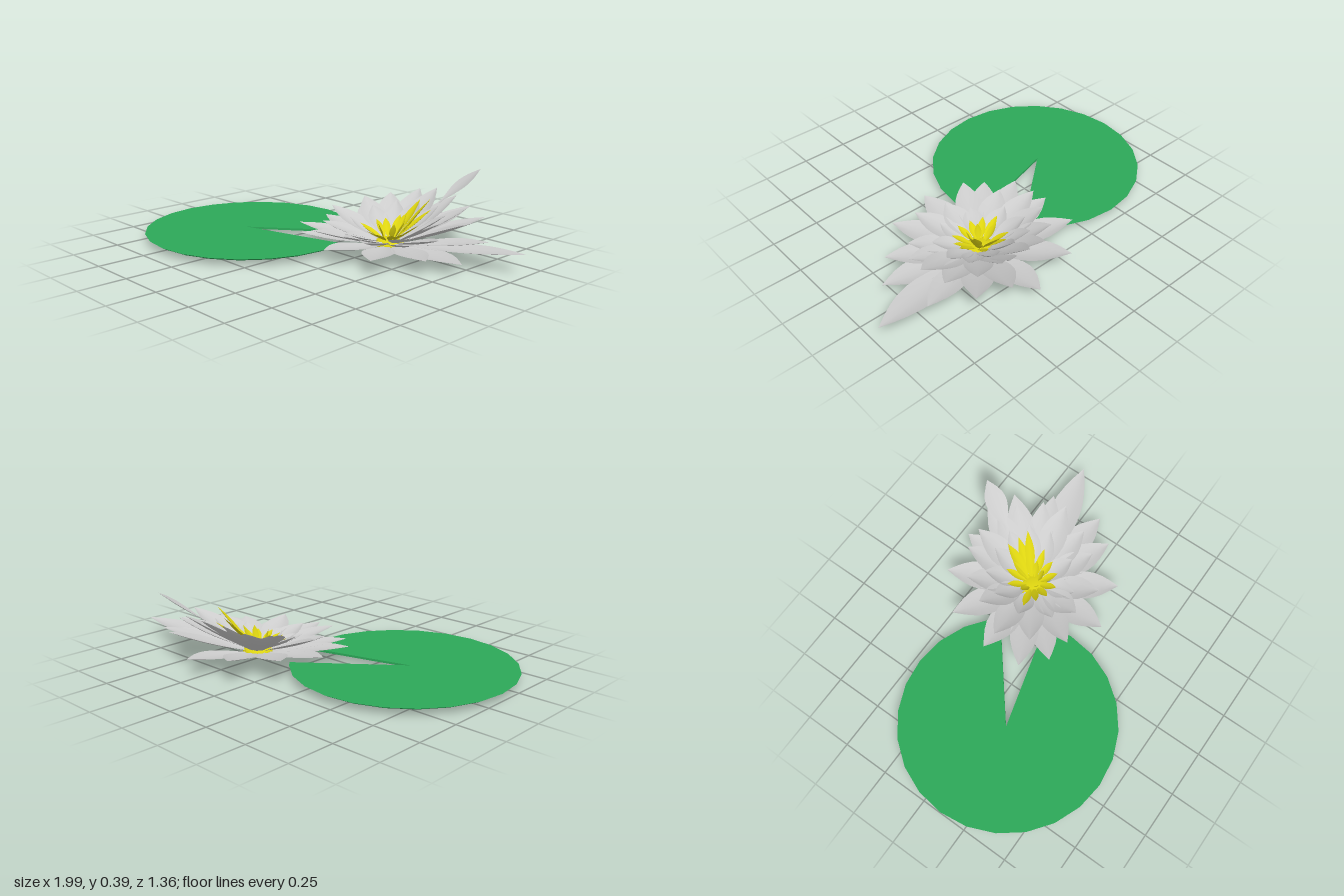
import * as THREE from 'three';

const green = new THREE.MeshStandardMaterial({ color: 0x2ca858, flatShading: true });
const grey = new THREE.MeshStandardMaterial({ color: 0xcccccc, side: THREE.DoubleSide });
const yellow = new THREE.MeshStandardMaterial({ color: 0xddd410, side: THREE.DoubleSide });
const CENTER = new THREE.Vector3(0.27, 0, -0.23);

// Cupped, pointed blade running from base to tip, swept from cross-sections
function bladeGeometry(base, tip, width, cup, rows = 10, cols = 4) {
  const along = tip.clone().sub(base);
  const side = new THREE.Vector3().crossVectors(along, new THREE.Vector3(0, 1, 0)).normalize();
  const up = new THREE.Vector3().crossVectors(side, along).normalize();
  const positions = [], index = [];
  for (let i = 0; i <= rows; i++) {
    const t = i / rows;
    const bulge = Math.sin(Math.PI * Math.pow(t, 1.2));
    const half = width * 0.5 * Math.max(bulge, 0.22 * (1 - t));
    for (let j = 0; j <= cols; j++) {
      const s = (j / cols) * 2 - 1;
      const p = base.clone().addScaledVector(along, t)
        .addScaledVector(side, s * half)
        .addScaledVector(up, cup * half * (s * s - 0.5));
      positions.push(p.x, p.y, p.z);
      if (i < rows && j < cols) {
        const a = i * (cols + 1) + j, b = a + cols + 1;
        index.push(a, a + 1, b, a + 1, b + 1, b);
      }
    }
  }
  const g = new THREE.BufferGeometry();
  g.setAttribute('position', new THREE.Float32BufferAttribute(positions, 3));
  g.setIndex(index);
  g.computeVertexNormals();
  return g;
}

// Ring of blades growing from the flower centre; each tip is [x, y, z, width]
function bladeRing(name, tips, baseRadius, baseY, cup, material) {
  const ring = new THREE.Group();
  ring.name = name + 's';
  for (const [x, y, z, width] of tips) {
    const tip = new THREE.Vector3(x, y, z);
    const base = tip.clone().sub(CENTER).setY(0).setLength(baseRadius).add(CENTER).setY(baseY);
    const mesh = new THREE.Mesh(bladeGeometry(base, tip, width, cup), material);
    mesh.name = name;
    ring.add(mesh);
  }
  return ring;
}

// Thin round leaf with a wedge notch and an undercut rim
function lilyPad() {
  const radius = 0.57, rad = Math.PI / 180;
  const points = [new THREE.Vector2(-0.03, -0.01)];
  for (const deg of [40, ...Array.from({ length: 23 }, (_, i) => 45 + i * 15)]) {
    points.push(new THREE.Vector2(Math.cos(deg * rad), Math.sin(deg * rad)).multiplyScalar(radius));
  }
  const g = new THREE.ExtrudeGeometry(new THREE.Shape(points), { depth: 0.011, bevelEnabled: false });
  g.rotateX(-Math.PI / 2);
  const p = g.attributes.position;
  for (let i = 0; i < p.count; i++) {
    if (p.getY(i) < 0.005) p.setXYZ(i, p.getX(i) * 0.965, p.getY(i), p.getZ(i) * 0.965);
  }
  g.computeVertexNormals();
  const mesh = new THREE.Mesh(g, green);
  mesh.name = 'lilyPad';
  mesh.position.set(-0.43, 0.027, 0.108);
  return mesh;
}

const outerTips = [
  [0.99, 0.10, -0.39, 0.17], [0.80, 0.06, -0.15, 0.17], [0.69, 0.08, -0.02, 0.16],
  [0.51, 0.08, 0.16, 0.16], [0.26, 0.09, 0.22, 0.16], [-0.05, 0.09, 0.10, 0.15],
  [-0.17, 0.10, -0.01, 0.15], [-0.19, 0.10, -0.22, 0.16], [-0.14, 0.13, -0.46, 0.16],
  [0.04, 0.13, -0.63, 0.16], [0.29, 0.09, -0.68, 0.16], [0.45, 0.19, -0.66, 0.15],
  [0.60, 0.17, -0.59, 0.16], [0.75, 0.10, -0.43, 0.15],
];
const middleTips = [
  [0.69, 0.20, -0.31, 0.15], [0.65, 0.14, -0.16, 0.14], [0.57, 0.12, -0.05, 0.14],
  [0.41, 0.13, 0.10, 0.14], [0.24, 0.12, 0.07, 0.14], [0.07, 0.13, 0.13, 0.14],
  [-0.03, 0.13, -0.04, 0.14], [-0.12, 0.17, -0.20, 0.14], [-0.03, 0.21, -0.36, 0.14],
  [0.04, 0.22, -0.49, 0.14], [0.17, 0.25, -0.58, 0.14], [0.28, 0.27, -0.59, 0.14],
  [0.43, 0.26, -0.57, 0.14], [0.54, 0.22, -0.53, 0.14], [0.65, 0.18, -0.43, 0.14],
];
const innerTips = [
  [0.53, 0.17, -0.30, 0.11], [0.48, 0.12, -0.12, 0.11], [0.34, 0.09, -0.01, 0.11],
  [0.15, 0.10, -0.02, 0.11], [0.05, 0.14, -0.17, 0.11], [0.06, 0.18, -0.33, 0.11],
  [0.13, 0.20, -0.44, 0.11], [0.26, 0.22, -0.47, 0.11], [0.39, 0.21, -0.47, 0.11],
  [0.49, 0.19, -0.41, 0.11],
];
const stamenTips = [
  [0.31, 0.24, -0.42, 0.055], [0.42, 0.27, -0.37, 0.05], [0.39, 0.20, -0.41, 0.05],
  [0.22, 0.15, -0.37, 0.04], [0.16, 0.13, -0.32, 0.04], [0.27, 0.17, -0.36, 0.04],
  [0.36, 0.17, -0.33, 0.04], [0.43, 0.15, -0.27, 0.04], [0.41, 0.12, -0.20, 0.04],
  [0.37, 0.11, -0.14, 0.04], [0.30, 0.11, -0.10, 0.04], [0.23, 0.11, -0.11, 0.04],
  [0.17, 0.12, -0.14, 0.04], [0.11, 0.12, -0.18, 0.04], [0.17, 0.14, -0.24, 0.04],
  [0.33, 0.15, -0.20, 0.035], [0.24, 0.14, -0.18, 0.035], [0.35, 0.16, -0.26, 0.035],
];

export function createModel() {
  const model = new THREE.Group();
  model.name = 'waterLily';
  model.add(lilyPad());

  const flower = new THREE.Group();
  flower.name = 'flower';
  flower.add(bladeRing('outerPetal', outerTips, 0.04, 0.032, 0.2, grey));
  flower.add(bladeRing('middlePetal', middleTips, 0.04, 0.038, 0.25, grey));
  flower.add(bladeRing('innerPetal', innerTips, 0.04, 0.045, 0.3, grey));
  flower.add(bladeRing('stamen', stamenTips, 0.025, 0.05, 0.3, yellow));

  // Single loose petal floating above the back
  const loose = new THREE.Mesh(bladeGeometry(
    new THREE.Vector3(0.385, 0.225, -0.48), new THREE.Vector3(0.49, 0.39, -0.68), 0.115, 0.15), grey);
  loose.name = 'loosePetal';
  flower.add(loose);

  // Flattened bulb holding the petals
  const bulb = new THREE.Mesh(new THREE.SphereGeometry(0.08, 20, 12), yellow);
  bulb.name = 'receptacle';
  bulb.scale.y = 0.4;
  bulb.position.set(CENTER.x, 0.032, CENTER.z);
  flower.add(bulb);

  model.add(flower);
  return model;
}
